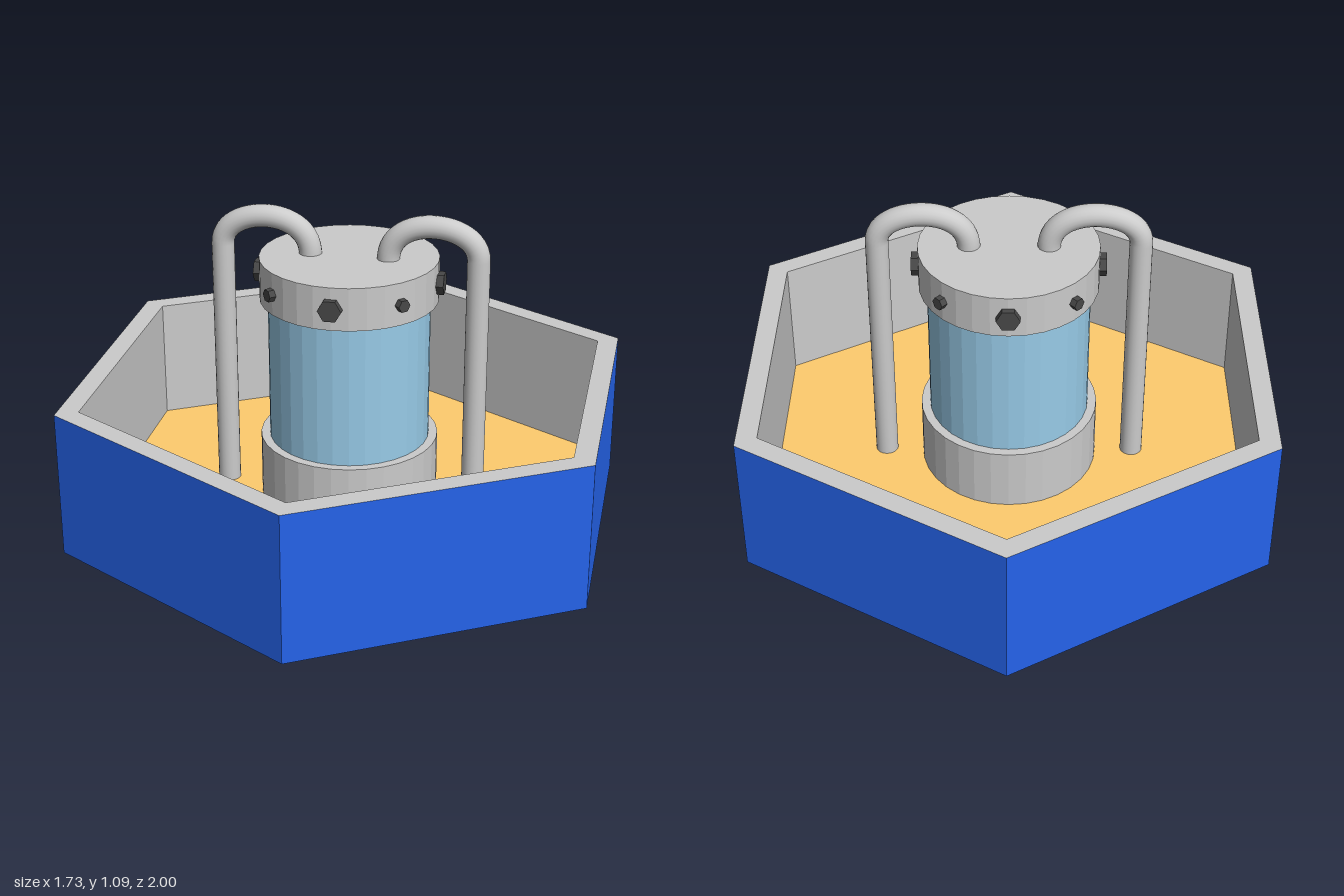
import * as THREE from 'three';

const FLOOR = 0.08, RIM = 0.505, LID_Y = 0.862;

function material(color, options = {}) {
  return new THREE.MeshStandardMaterial({ color, ...options });
}

export function createModel() {
  const model = new THREE.Group();
  const grey = material(0xcccccc);
  const greyFlat = material(0xcccccc, { flatShading: true });
  const blue = material(0x2563eb, { flatShading: true });
  const sand = material(0xffcc6e, { flatShading: true });
  const glass = material(0x98cbe8, { flatShading: true });
  const dark = material(0x484848, { flatShading: true });

  function add(name, geometry, mat, parent = model) {
    const mesh = new THREE.Mesh(geometry, mat);
    mesh.name = name;
    parent.add(mesh);
    return mesh;
  }

  // Upright cylinder between two heights
  function drum(name, radius, y0, y1, sides, mat, open = false) {
    const mesh = add(name, new THREE.CylinderGeometry(radius, radius, y1 - y0, sides, 1, open), mat);
    mesh.position.y = (y0 + y1) / 2;
    return mesh;
  }

  // Hexagonal basin: outer wall, rim with inner wall, floor slab
  drum('outerWall', 1, 0, RIM, 6, blue, true);
  const liner = [[0.92, FLOOR], [0.92, RIM], [1, RIM]].map(([r, y]) => new THREE.Vector2(r, y));
  add('rimAndInnerWall', new THREE.LatheGeometry(liner, 6),
    material(0xcccccc, { flatShading: true, side: THREE.DoubleSide }));
  drum('floor', 0.998, 0, FLOOR, 6, sand);

  // Central vessel
  drum('vesselBase', 0.3, FLOOR, 0.3, 32, greyFlat);
  drum('vesselBody', 0.27, 0.29, 0.8, 32, glass);
  drum('vesselLid', 0.297, 0.79, 0.935, 32, greyFlat);

  // Hexagonal bolts around the lid, alternating large and small
  const bolts = new THREE.Group();
  bolts.name = 'lidBolts';
  model.add(bolts);
  for (let i = 0; i < 8; i++) {
    const r = i % 2 ? 0.022 : 0.039;
    const geometry = new THREE.CylinderGeometry(r, r, 0.05, 6);
    geometry.rotateX(Math.PI / 2);
    geometry.rotateZ(Math.PI / 6);
    geometry.translate(0, LID_Y, 0.293);
    geometry.rotateY(i * Math.PI / 4);
    add('bolt', geometry, dark, bolts);
  }

  // Pipes rising from the floor and arching into the lid
  for (const side of [1, -1]) {
    const p = (x, y) => new THREE.Vector3(side * x, y, 0);
    const path = new THREE.CurvePath();
    path.add(new THREE.LineCurve3(p(0.427, FLOOR), p(0.427, 0.95)));
    path.add(new THREE.CubicBezierCurve3(p(0.427, 0.95), p(0.427, 1.08), p(0.13, 1.1), p(0.13, 0.93)));
    add(side > 0 ? 'leftPipe' : 'rightPipe', new THREE.TubeGeometry(path, 80, 0.038, 20), grey);
  }

  return model;
}
